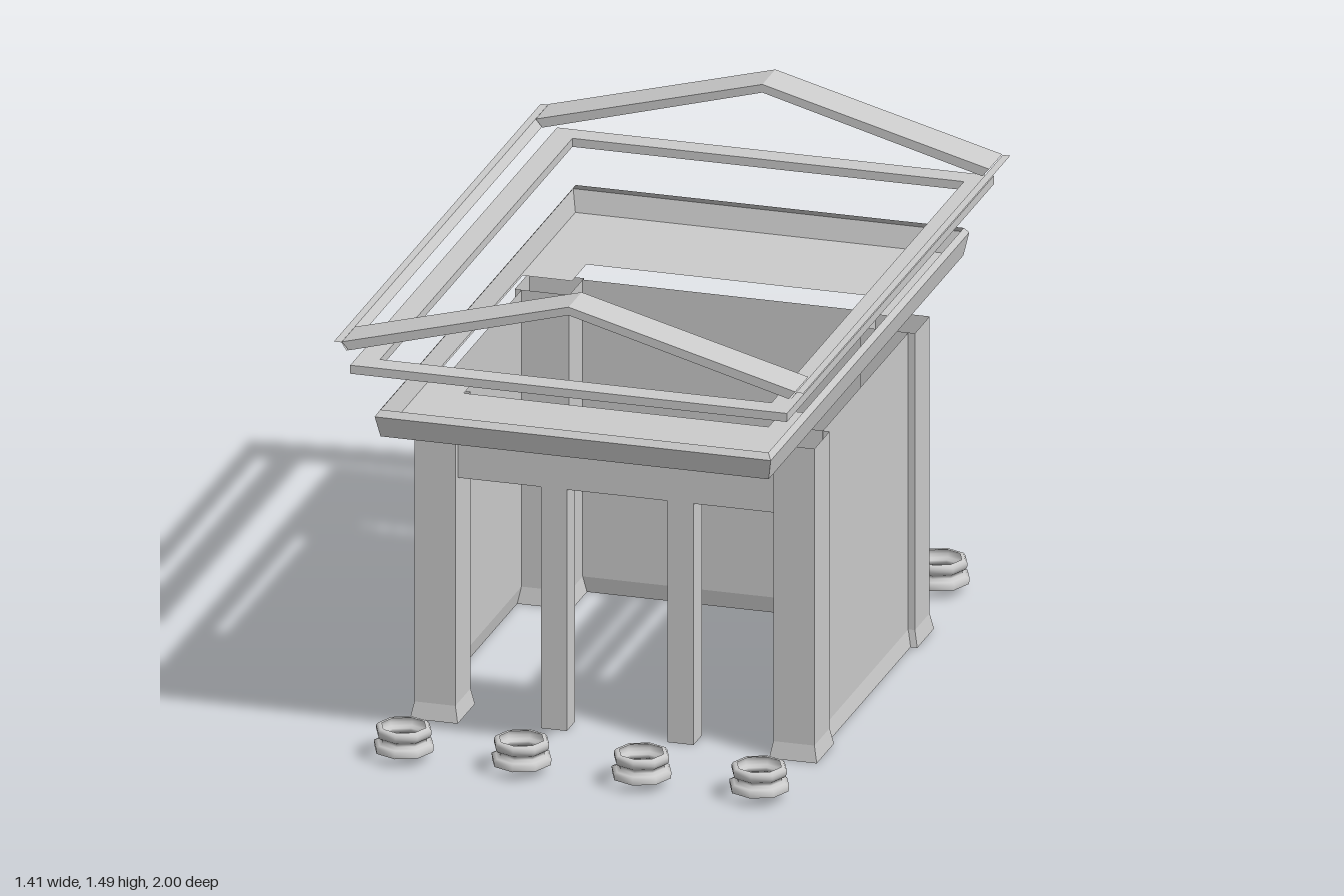
import * as THREE from 'three';

const sheet = new THREE.MeshStandardMaterial({ color: 0xcccccc, flatShading: true, side: THREE.DoubleSide });
const smooth = new THREE.MeshStandardMaterial({ color: 0xcccccc, side: THREE.DoubleSide });

// Skin between successive cross-sections (arrays of [x, y, z])
function loft(sections, closed) {
  const pos = [];
  for (let s = 0; s < sections.length - 1; s++) {
    const a = sections[s], b = sections[s + 1], n = a.length;
    for (let i = 0; i < (closed ? n : n - 1); i++) {
      const j = (i + 1) % n;
      pos.push(...a[i], ...a[j], ...b[j], ...a[i], ...b[j], ...b[i]);
    }
  }
  const g = new THREE.BufferGeometry();
  g.setAttribute('position', new THREE.Float32BufferAttribute(pos, 3));
  g.computeVertexNormals();
  return g;
}

// Rectangle loop at height y, counter-clockwise seen from below
const rect = (x0, x1, z0, z1, y) => [[x0, y, z1], [x1, y, z1], [x1, y, z0], [x0, y, z0]];

// Flat shape drawn in x and -z, laid down horizontally
function shapeOf(points) {
  return new THREE.Shape(points.map(([x, z]) => new THREE.Vector2(x, -z)));
}

export function createModel() {
  const model = new THREE.Group();
  const add = (name, geo, mat = sheet, parent = model) => {
    const m = new THREE.Mesh(geo, mat);
    m.name = name;
    parent.add(m);
    return m;
  };

  // Hollow corner pilasters with a flared foot
  const pilaster = (name, x0, x1, z0, z1) => add(name, loft([
    rect(x0 - 0.01, x1 + 0.01, z0 - 0.01, z1 + 0.01, 0),
    rect(x0, x1, z0, z1, 0.05),
    rect(x0, x1, z0, z1, 0.96)], true));
  pilaster('frontLeftPilaster', 0.477, 0.6, 0.41, 0.557);
  pilaster('frontRightPilaster', -0.6, -0.477, 0.41, 0.557);
  pilaster('backLeftPilaster', 0.437, 0.6, -0.557, -0.415);
  pilaster('backRightPilaster', -0.6, -0.437, -0.557, -0.415);

  // Thin walls with a flared skirting
  for (const s of [1, -1]) {
    const row = (x, y) => [[s * x, y, s * 0.413], [s * x, y, -s * 0.413]];
    add(s > 0 ? 'leftWall' : 'rightWall', loft([row(0.59, 0), row(0.58, 0.05), row(0.58, 0.96)]));
  }
  const backRow = (z, y) => [[0.437, y, z], [-0.437, y, z]];
  add('backWall', loft([backRow(-0.555, 0), backRow(-0.545, 0.05), backRow(-0.545, 0.96)]));

  // Lintel face with its soffit, carried by two door posts
  add('lintel', loft([[0.45, 0.74], [0.53, 0.74], [0.53, 0.96]]
    .map(([z, y]) => [[-0.477, y, z], [0.477, y, z]])));
  for (const x of [-0.19, 0.19]) {
    const ring = y => rect(x - 0.039, x + 0.039, 0.45, 0.53, y);
    add('doorPost', loft([ring(0), ring(0.74)], true));
  }

  // Cornice: sloping rim around a soffit notched over the pilasters
  const cornice = new THREE.Group();
  cornice.name = 'cornice';
  model.add(cornice);
  const ringAt = (x, z, y) => rect(-x, x, -z, z, y);
  add('corniceRim', loft([ringAt(0.582, 0.942, 1.005), ringAt(0.594, 0.96, 1.07), ringAt(0.582, 0.945, 1.088)], true), sheet, cornice);
  const soffit = shapeOf([[-0.582, -0.942], [0.582, -0.942], [0.582, 0.942], [-0.582, 0.942]]);
  soffit.holes.push(shapeOf([
    [-0.428, -0.552], [0.428, -0.552], [0.428, -0.413], [0.576, -0.413],
    [0.576, 0.4], [0.457, 0.4], [0.457, 0.54], [-0.457, 0.54],
    [-0.457, 0.4], [-0.576, 0.4], [-0.576, -0.413], [-0.428, -0.413]]));
  const soffitMesh = add('corniceSoffit', new THREE.ShapeGeometry(soffit).rotateX(-Math.PI / 2), sheet, cornice);
  soffitMesh.position.y = 1.005;

  // Flat rectangular frame above the cornice
  const frame = shapeOf([[-0.655, -1], [0.655, -1], [0.655, 1], [-0.655, 1]]);
  frame.holes.push(shapeOf([[-0.587, -0.93], [0.587, -0.93], [0.587, 0.93], [-0.587, 0.93]]));
  add('entablatureFrame', new THREE.ExtrudeGeometry(frame, { depth: 0.026, bevelEnabled: false })
    .rotateX(-Math.PI / 2)).position.y = 1.21;

  // Raking gable cornices at both ends
  const rake = new THREE.Shape([
    [0, 1.488], [-0.68, 1.305], [-0.66, 1.281], [0, 1.463], [0.66, 1.281], [0.68, 1.305],
  ].map(p => new THREE.Vector2(...p)));
  for (const s of [1, -1]) {
    const g = add(s > 0 ? 'frontGable' : 'backGable',
      new THREE.ExtrudeGeometry(rake, { depth: 0.126, bevelEnabled: false }));
    g.position.z = s > 0 ? 0.874 : -1;
  }

  // Eaves running along both sides
  for (const s of [1, -1]) {
    add(s > 0 ? 'leftEave' : 'rightEave', loft([[0.665, 1.278], [0.682, 1.303], [0.704, 1.303]]
      .map(([x, y]) => [[s * x, y, s], [s * x, y, -s]])));
  }

  // Column bases, four at each end
  const profile = [[0.088, 0.028], [0.09, 0.046], [0.078, 0.05], [0.069, 0.058], [0.069, 0.066],
    [0.079, 0.072], [0.083, 0.082], [0.083, 0.092], [0.077, 0.1], [0.066, 0.1]]
    .map(p => new THREE.Vector2(...p));
  const baseGeo = new THREE.LatheGeometry(profile, 8);
  for (const z of [0.875, -0.87]) {
    for (const x of [-0.533, -0.18, 0.18, 0.533]) {
      add('columnBase', baseGeo, smooth).position.set(x, 0, z);
    }
  }
  return model;
}
